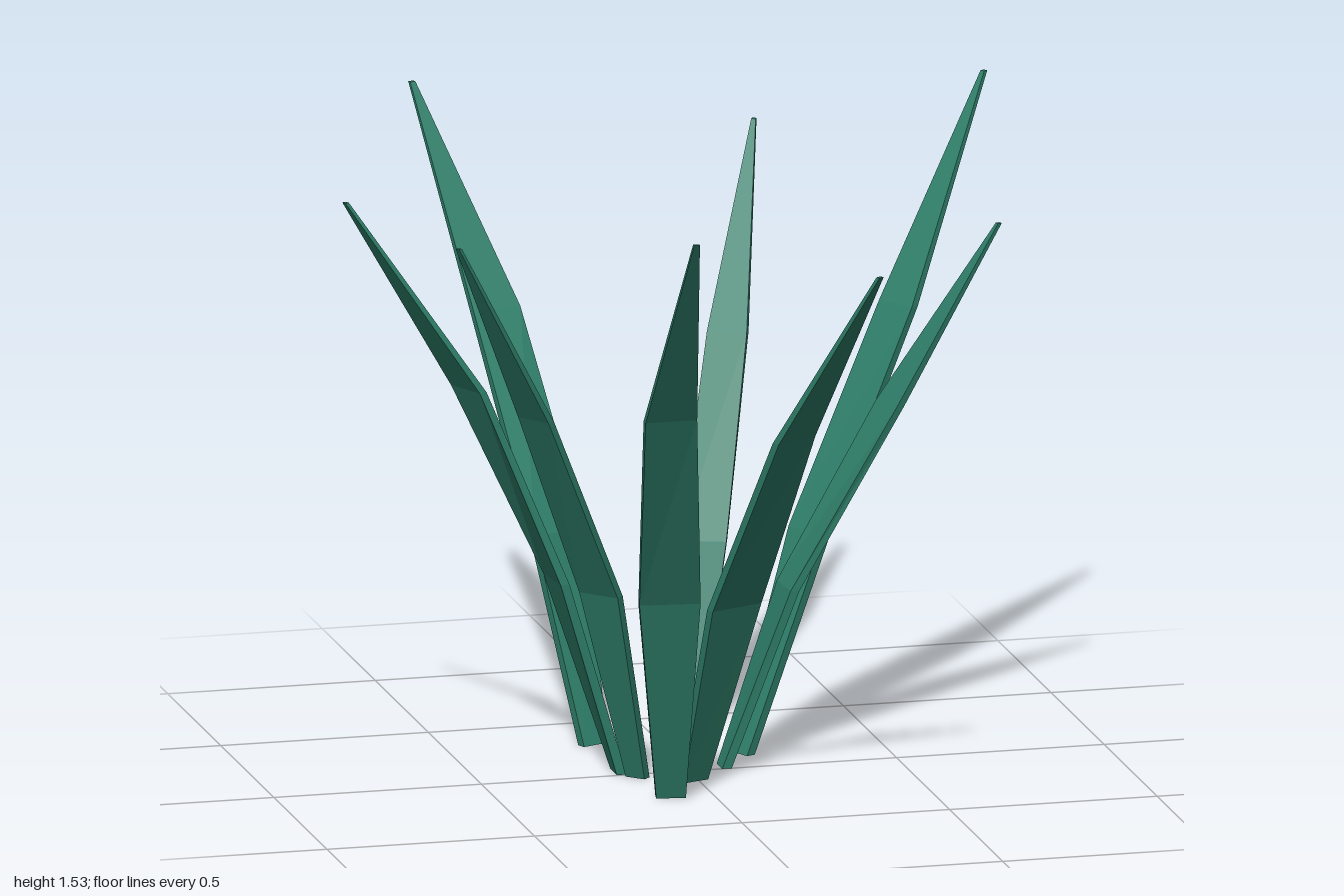
import * as THREE from 'three';

// One entry per blade: height, width scale, outward heading in degrees (root, tip),
// and the x, z of the inner face centre at root, one third, two thirds and tip.
const BLADES = [
  { h: 1.44, w: 1.15, yaw: [-113, -104], path: [[-0.15, -0.29], [-0.2, -0.435], [-0.286, -0.69], [-0.412, -0.99]] },
  { h: 1.305, w: 0.89, yaw: [-72, -63], path: [[0.074, -0.296], [0.145, -0.437], [0.265, -0.68], [0.402, -0.965]] },
  { h: 1.53, w: 1.0, yaw: [-25, -31], path: [[0.153, -0.127], [0.33, -0.19], [0.569, -0.28], [0.815, -0.423]] },
  { h: 1.28, w: 0.86, yaw: [0, -17], path: [[0.08, -0.025], [0.233, -0.019], [0.479, -0.011], [0.735, 0.027]] },
  { h: 1.38, w: 1.14, yaw: [70, 59], path: [[-0.016, 0.077], [0.037, 0.256], [0.116, 0.508], [0.247, 0.82]] },
  { h: 1.53, w: 1.16, yaw: [99, 90], path: [[-0.1, 0.214], [-0.145, 0.378], [-0.211, 0.64], [-0.235, 0.985]] },
  { h: 1.415, w: 0.86, yaw: [135, 144], path: [[-0.122, 0.016], [-0.235, 0.114], [-0.43, 0.267], [-0.667, 0.453]] },
  { h: 1.42, w: 1.0, yaw: [180, 155], path: [[-0.15, -0.034], [-0.299, -0.037], [-0.513, -0.037], [-0.82, -0.013]] },
];

const WIDTH = [0.06, 0.124, 0.107, 0.012];
const THICKNESS = [0.023, 0.022, 0.02, 0.01];
const TWIST = [0, 0.2, 1, 1];

// Four-sided strip lofted through four level cross-sections
function bladeGeometry({ h, w, yaw, path }) {
  const rings = path.map(([x, z], i) => {
    const a = THREE.MathUtils.degToRad(THREE.MathUtils.lerp(yaw[0], yaw[1], TWIST[i]));
    const c = Math.cos(a), s = Math.sin(a);
    const half = (WIDTH[i] * w) / 2;
    const corner = (side, out) =>
      [x - s * side * half + c * out, (h * i) / 3, z + c * side * half + s * out];
    const t = THICKNESS[i];
    return [corner(-1, 0), corner(1, 0), corner(1, t), corner(-1, t)];
  });

  const pos = [];
  const quad = (a, b, c, d) => pos.push(...a, ...b, ...c, ...a, ...c, ...d);
  for (let i = 0; i < 3; i++) {
    for (let k = 0; k < 4; k++) {
      const n = (k + 1) % 4;
      quad(rings[i][k], rings[i][n], rings[i + 1][n], rings[i + 1][k]);
    }
  }
  quad(...rings[3]); // tip cap
  quad(...[...rings[0]].reverse()); // root cap

  const g = new THREE.BufferGeometry();
  g.setAttribute('position', new THREE.Float32BufferAttribute(pos, 3));
  g.computeVertexNormals();
  return g;
}

export function createModel() {
  const group = new THREE.Group();
  group.name = 'grassTuft';
  const green = new THREE.MeshStandardMaterial({ color: 0x2f7f6a });
  green.name = 'leafGreen';
  green.flatShading = true;

  BLADES.forEach((blade, i) => {
    const mesh = new THREE.Mesh(bladeGeometry(blade), green);
    mesh.name = `blade${i + 1}`;
    group.add(mesh);
  });
  return group;
}
